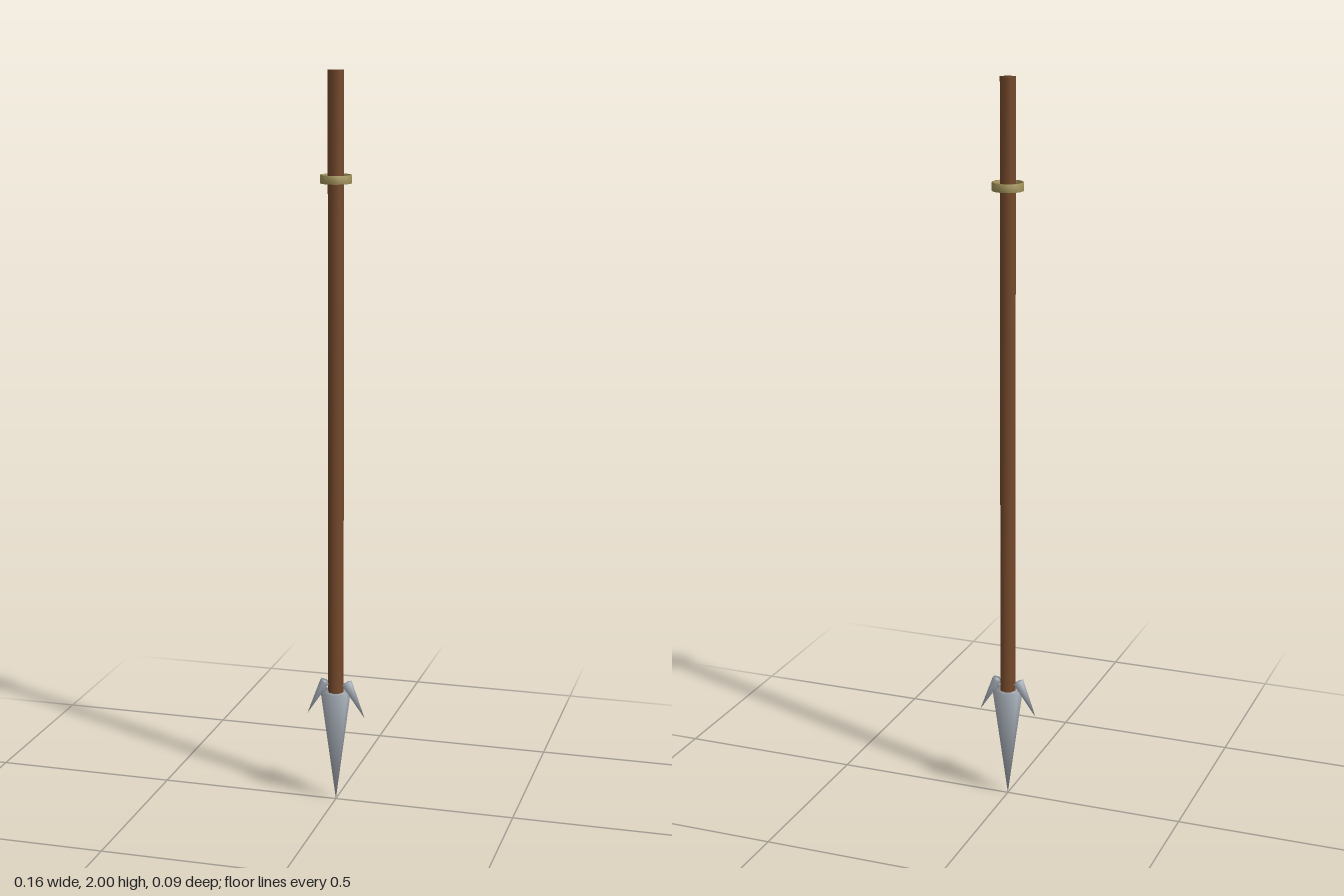
import * as THREE from 'three';
import { mergeVertices } from 'three/addons/utils/BufferGeometryUtils.js';

// Welds all corners so shading runs softly over the rims
function soften(geometry) {
  geometry.deleteAttribute('normal');
  geometry.deleteAttribute('uv');
  const welded = mergeVertices(geometry, 1e-5);
  welded.computeVertexNormals();
  return welded;
}

export function createModel() {
  const group = new THREE.Group();
  const wood = new THREE.MeshStandardMaterial({ color: 0x75492b });
  const brass = new THREE.MeshStandardMaterial({ color: 0xa8985f });
  const steel = new THREE.MeshStandardMaterial({ color: 0xb4bcc6 });

  function add(name, geometry, material) {
    const mesh = new THREE.Mesh(soften(geometry), material);
    mesh.name = name;
    group.add(mesh);
    return mesh;
  }

  // Long eight-sided shaft, sunk a little into the head
  const shaft = add('shaft', new THREE.CylinderGeometry(0.022, 0.022, 1.7, 8), wood);
  shaft.position.y = 1.15;

  // Thin loose band around the upper shaft
  const band = [[0.037, -0.011], [0.042, -0.011], [0.042, 0.011], [0.037, 0.011], [0.037, -0.011]]
    .map(([r, y]) => new THREE.Vector2(r, y));
  const ring = add('ring', new THREE.LatheGeometry(band, 16), brass);
  ring.position.y = 1.721;

  // Six-sided head, point down
  const head = add('spearhead', new THREE.CylinderGeometry(0.043, 0, 0.316, 6), steel);
  head.position.y = 0.158;

  // Two barbs, splayed down and outwards
  for (const side of [1, -1]) {
    const base = new THREE.Vector3(side * 0.031, 0.343, 0);
    const tip = new THREE.Vector3(side * 0.082, 0.245, 0);
    const barb = add(side > 0 ? 'leftBarb' : 'rightBarb',
      new THREE.ConeGeometry(0.015, base.distanceTo(tip), 6), steel);
    barb.position.copy(base).lerp(tip, 0.5);
    barb.quaternion.setFromUnitVectors(new THREE.Vector3(0, 1, 0), tip.sub(base).normalize());
  }
  return group;
}
